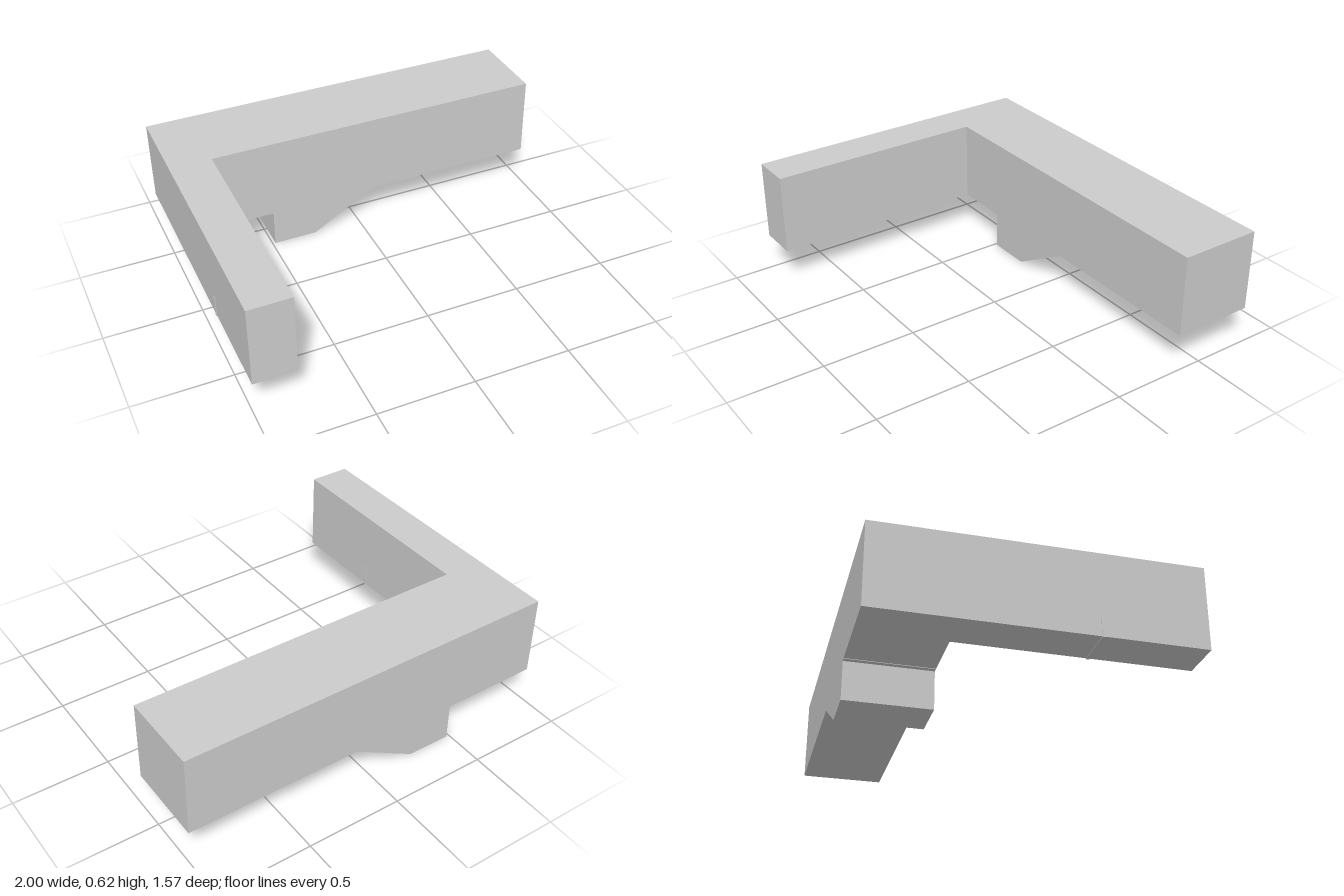
import * as THREE from 'three';

const material = new THREE.MeshStandardMaterial({ color: 0xcccccc, flatShading: true });

// Extrude a closed outline by a given depth.
function extrude(name, points, depth) {
  const shape = new THREE.Shape(points.map(([x, y]) => new THREE.Vector2(x, y)));
  const geometry = new THREE.ExtrudeGeometry(shape, { depth, bevelEnabled: false });
  const mesh = new THREE.Mesh(geometry, material);
  mesh.name = name;
  return mesh;
}

function box(name, size, position) {
  const mesh = new THREE.Mesh(new THREE.BoxGeometry(...size), material);
  mesh.name = name;
  mesh.position.set(...position);
  return mesh;
}

export function createModel() {
  const model = new THREE.Group();
  model.name = 'angledBlock';

  const base = 0.197, top = 0.622;
  const back = -0.787, inner = -0.36, front = 0.787;
  const armInner = -0.783, armWidth = armInner + 1;

  // L-shaped body; the plan is drawn as (x, -z) and laid flat
  const body = extrude('body', [
    [-1, -front], [armInner, -front], [armInner, -inner],
    [1, -inner], [1, -back], [-1, -back],
  ], top - base);
  body.rotation.x = -Math.PI / 2;
  body.position.y = base;
  model.add(body);

  // Foot below the long side, sloping up towards +x
  const foot = extrude('foot', [
    [-0.485, 0], [-0.255, 0], [0.085, base], [-0.485, base],
  ], inner - back);
  foot.position.z = back;
  model.add(foot);

  // Thin strip under the long side, beside the foot
  model.add(box('footStrip', [0.024, 0.003, inner - back], [-0.497, base - 0.001, (inner + back) / 2]));

  // Narrow clip wrapped around the underside and flanks of the arm
  const clip = new THREE.Group();
  clip.name = 'armClip';
  const z = 0.28, width = 0.016, lip = 0.003, clipTop = 0.302;
  const armCentre = (armInner - 1) / 2;
  clip.add(box('clipBase', [armWidth + 2 * lip, lip, width], [armCentre, base - lip / 2, z]));
  for (const side of [-1, 1]) {
    clip.add(box('clipSide', [lip, clipTop - base, width],
      [armCentre + side * (armWidth + lip) / 2, (clipTop + base) / 2, z]));
  }
  model.add(clip);

  return model;
}
